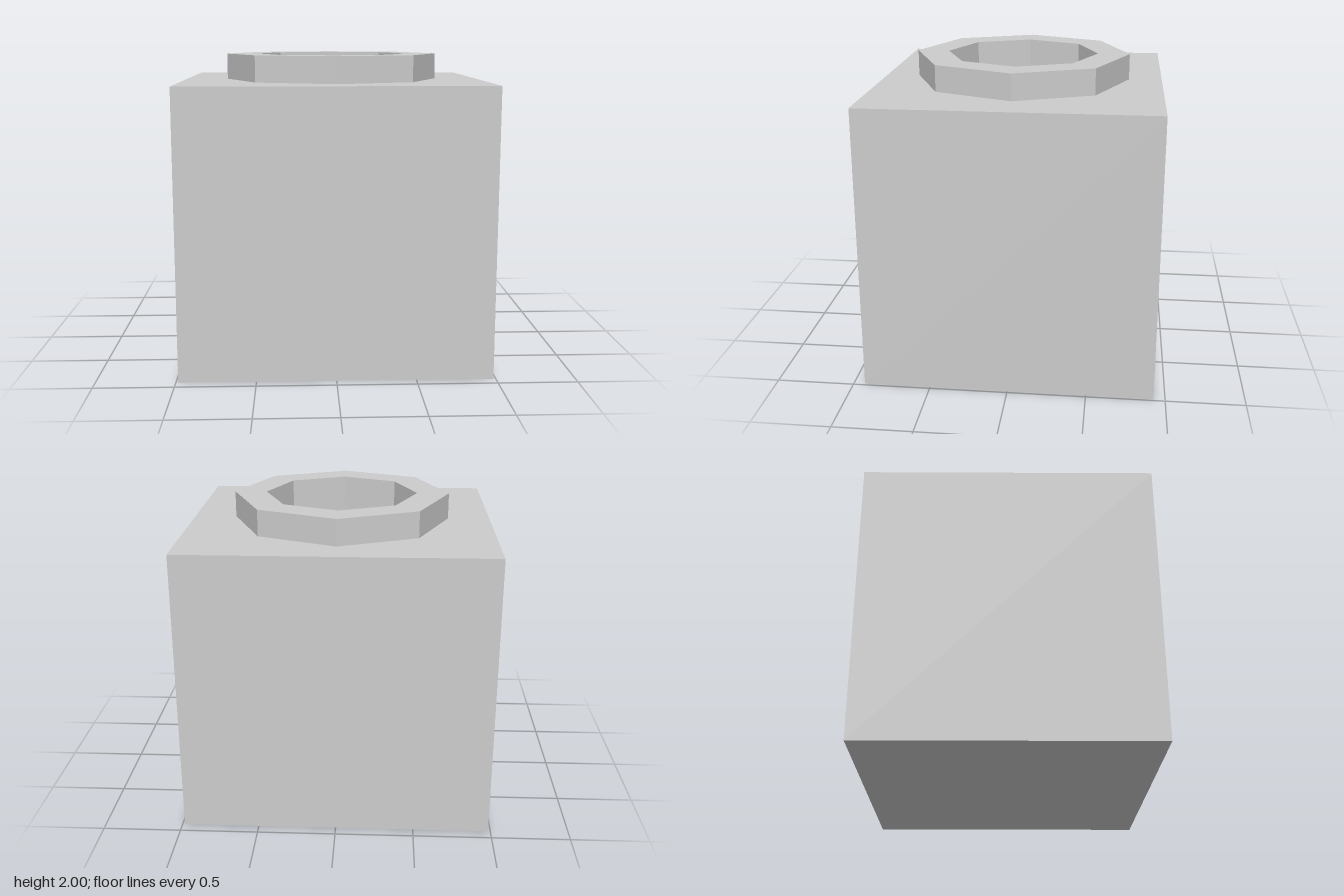
import * as THREE from 'three';

const WIDTH = 1.97, DEPTH = 1.854, BODY_TOP = 1.83, TOP = 2;
const RIM_OUTER = 0.71, RIM_INNER = 0.5, RECESS_FLOOR = 1.61, SIDES = 8;

export function createModel() {
  const group = new THREE.Group();
  const material = new THREE.MeshStandardMaterial({ color: 0xcccccc, flatShading: true });
  const add = (name, geometry, y = 0) => {
    const mesh = new THREE.Mesh(geometry, material);
    mesh.name = name;
    mesh.position.y = y;
    group.add(mesh);
  };

  // Block: four walls and a base, with the box's top face (indices 12 to 17) left out
  const block = new THREE.BoxGeometry(WIDTH, BODY_TOP, DEPTH);
  const index = Array.from(block.index.array);
  index.splice(12, 6);
  block.setIndex(index);
  block.clearGroups();
  add('block', block, BODY_TOP / 2);

  // Top of the block, with an octagonal opening where the rim stands
  const w = WIDTH / 2, d = DEPTH / 2;
  const plate = new THREE.Shape([
    new THREE.Vector2(-w, -d), new THREE.Vector2(w, -d),
    new THREE.Vector2(w, d), new THREE.Vector2(-w, d),
  ]);
  const opening = [];
  for (let i = 0; i < SIDES; i++) {
    const a = -i / SIDES * Math.PI * 2;
    opening.push(new THREE.Vector2(Math.cos(a) * RIM_OUTER, Math.sin(a) * RIM_OUTER));
  }
  plate.holes.push(new THREE.Path(opening));
  add('blockTop', new THREE.ShapeGeometry(plate).rotateX(-Math.PI / 2), BODY_TOP);

  // Raised octagonal rim, continuing down into the recess and across its floor
  const profile = [
    [RIM_OUTER, BODY_TOP], [RIM_OUTER, TOP], [RIM_INNER, TOP],
    [RIM_INNER, RECESS_FLOOR], [0, RECESS_FLOOR],
  ].map(([r, y]) => new THREE.Vector2(r, y));
  add('rimAndRecess', new THREE.LatheGeometry(profile, SIDES));

  return group;
}
